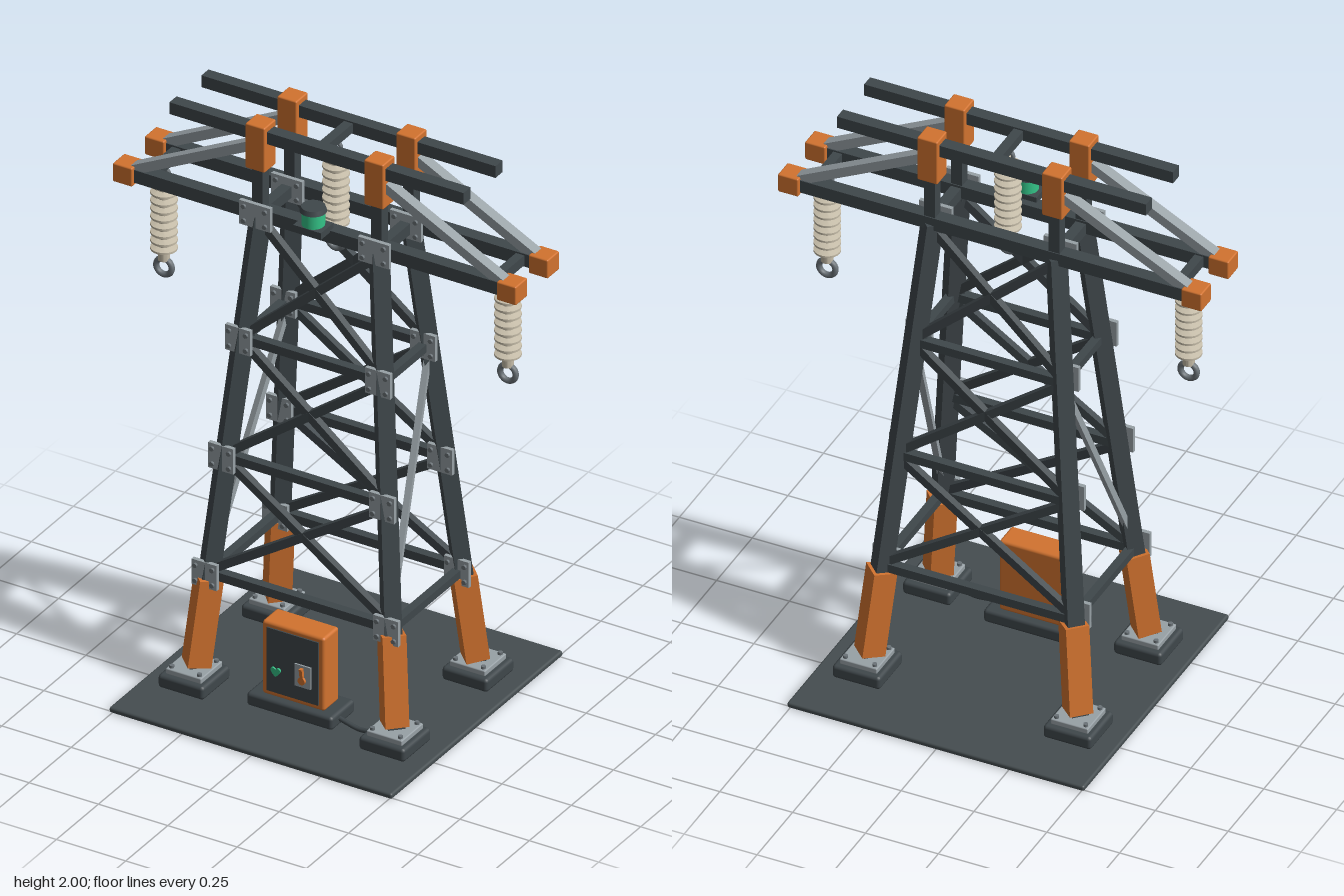
import * as THREE from 'three';
import { toCreasedNormals } from 'three/addons/utils/BufferGeometryUtils.js';
import { RoundedBoxGeometry } from 'three/addons/geometries/RoundedBoxGeometry.js';

const mat = (name, color) => Object.assign(new THREE.MeshStandardMaterial({ color }), { name });

export function createModel() {
  const dark = mat('dark steel', 0x3f474b);
  const ground = mat('ground slab', 0x454d50);
  const orange = mat('orange paint', 0xd2732f);
  const steel = mat('galvanised steel', 0x98a1a6);
  const ceramic = mat('ceramic', 0xc6bda9);
  const ringMat = mat('ring metal', 0x6b7378);
  const green = mat('green glow', 0x34c488);

  const model = new THREE.Group();
  model.name = 'powerPylon';
  const V = (x, y, z) => new THREE.Vector3(x, y, z);

  function add(name, geo, material, x = 0, y = 0, z = 0, parent = model) {
    const m = new THREE.Mesh(geo, material);
    m.name = name;
    m.position.set(x, y, z);
    parent.add(m);
    return m;
  }
  const box = (name, material, w, h, d, x, y, z, r = 0) =>
    add(name, r ? new RoundedBoxGeometry(w, h, d, 2, r) : new THREE.BoxGeometry(w, h, d), material, x, y, z);

  // Bar of section w x h running from a to b
  function bar(name, material, a, b, w, h = w) {
    const m = add(name, new THREE.BoxGeometry(w, h, a.distanceTo(b)), material);
    m.position.copy(a).lerp(b, 0.5);
    m.lookAt(b);
    return m;
  }

  // Leg centre line at height y, in the quadrant (sx, sz)
  const legAt = (sx, y, sz) => {
    const t = (y - 0.09) / 1.57;
    return V(sx * (0.357 - 0.143 * t), y, sz * (0.24 - 0.145 * t));
  };
  const ARM_Y = 1.677, TOP_Y = 1.96, ARM_Z = 0.095, POST_X = 0.214;
  const levels = [0.41, 0.82, 1.235, 1.66];

  box('groundSlab', ground, 1.02, 0.02, 1.02, 0, 0.01, 0, 0.008);

  // Bolted gusset plate facing the front
  const boltGeo = new THREE.CylinderGeometry(0.008, 0.008, 0.01, 8);
  function gusset(x, y, z, w, h) {
    box('gussetPlate', steel, w, h, 0.014, x, y, z);
    for (const i of [-1, 1]) for (const j of [-1, 1]) {
      add('gussetBolt', boltGeo, ringMat, x + i * w * 0.34, y + j * h * 0.3, z + 0.01).rotation.x = Math.PI / 2;
    }
  }

  // Four corners: foot, leg, boot, post, caps, plates
  for (const sx of [-1, 1]) for (const sz of [-1, 1]) {
    const fx = sx * 0.362, fz = sz * 0.247;
    box('footBase', dark, 0.165, 0.047, 0.165, fx, 0.042, fz, 0.012);
    box('footPlate', steel, 0.128, 0.02, 0.128, fx, 0.074, fz, 0.004);
    for (const i of [-1, 1]) for (const j of [-1, 1]) {
      add('footBolt', boltGeo, ringMat, fx + i * 0.05, 0.088, fz + j * 0.05);
    }
    bar('leg', dark, legAt(sx, 0.07, sz), legAt(sx, 1.67, sz), 0.055);
    bar('legBoot', orange, legAt(sx, 0.09, sz), legAt(sx, 0.395, sz), 0.076);
    box('upperPost', dark, 0.038, 0.32, 0.038, sx * POST_X, 1.8, sz * ARM_Z);
    box('postCap', orange, 0.07, 0.16, 0.07, sx * POST_X, 1.92, sz * ARM_Z, 0.005);
    box('armEndCap', orange, 0.07, 0.066, 0.07, sx * 0.692, ARM_Y, sz * ARM_Z, 0.005);
    bar('armStay', steel, V(sx * 0.675, 1.69, sz * ARM_Z), V(sx * 0.21, 1.928, sz * ARM_Z), 0.038, 0.032);
    for (const y of levels.slice(0, 3)) {
      const p = legAt(sx, y + 0.005, sz);
      gusset(p.x, p.y, p.z + 0.028, 0.09, 0.09);
    }
    gusset(sx * POST_X, ARM_Y, sz * ARM_Z + 0.029, 0.112, 0.085);
  }

  // Beams and crossed bracing on the front and back faces
  for (const sz of [-1, 1]) {
    box('crossarm', dark, 1.36, 0.045, 0.045, 0, ARM_Y, sz * ARM_Z);
    box('topBeam', dark, 1.06, 0.042, 0.042, 0, TOP_Y, sz * ARM_Z);
    for (let i = 0; i < 3; i++) {
      const lo = levels[i], hi = levels[i + 1];
      bar('girt', dark, legAt(-1, lo, sz), legAt(1, lo, sz), 0.03);
      for (const s of [-1, 1]) {
        bar('crossBrace', dark, legAt(s, lo + 0.01, sz), legAt(-s, hi - 0.01, sz), 0.024, 0.028);
      }
    }
  }

  // Side ties and diagonal stays
  for (const sx of [-1, 1]) {
    for (const y of [0.41, 1.235]) bar('sideTie', dark, legAt(sx, y, -1), legAt(sx, y, 1), 0.028);
    box('armTie', dark, 0.035, 0.04, 0.19, sx * POST_X, ARM_Y - 0.005, 0);
    box('tipTie', dark, 0.03, 0.035, 0.19, sx * 0.62, ARM_Y, 0);
    bar('sideStay', steel, legAt(sx, 0.45, 1), legAt(sx, 1.22, -1), 0.02);
  }
  box('topTie', dark, 0.032, 0.032, 0.19, 0, TOP_Y, 0);

  // Insulator string: ribbed ceramic with a ring at each end
  const profile = [[0, -0.325], [0.019, -0.325], [0.019, -0.29]];
  for (let i = 0; i < 9; i++) {
    const y = -0.287 + i * 0.0285;
    profile.push([0.022, y], [0.043, y + 0.002], [0.043, y + 0.009], [0.022, y + 0.015]);
  }
  profile.push([0.019, -0.025], [0, -0.025]);
  const stringGeo = toCreasedNormals(
    new THREE.LatheGeometry(profile.map(p => new THREE.Vector2(...p)), 20), 0.6);
  function insulator(x, y) {
    const g = new THREE.Group();
    g.name = 'insulator';
    g.position.set(x, y, 0);
    model.add(g);
    add('insulatorString', stringGeo, ceramic, 0, 0, 0, g);
    add('hangerRing', new THREE.TorusGeometry(0.018, 0.007, 8, 18), ringMat, 0, -0.015, 0, g);
    add('lineRing', new THREE.TorusGeometry(0.028, 0.01, 10, 24), ringMat, 0, -0.35, 0, g);
  }
  insulator(-0.62, 1.657);
  insulator(0.62, 1.657);
  insulator(0, 1.942);

  // Signal lamp on the front crossarm
  box('lampBracket', dark, 0.1, 0.024, 0.075, 0, 1.706, 0.135);
  add('lampGlass', new THREE.CylinderGeometry(0.037, 0.037, 0.05, 20), green, 0, 1.743, 0.135);
  add('lampCap', new THREE.CylinderGeometry(0.038, 0.043, 0.016, 20), dark, 0, 1.774, 0.135);

  // Control cabinet
  box('cabinetPlinth', dark, 0.31, 0.047, 0.14, 0, 0.042, 0.21, 0.012);
  box('cabinet', orange, 0.225, 0.262, 0.09, 0, 0.194, 0.21, 0.01);
  box('cabinetDoor', dark, 0.185, 0.225, 0.008, 0, 0.195, 0.256);
  box('switchPlate', steel, 0.058, 0.078, 0.007, 0.04, 0.173, 0.262);
  bar('switchLever', orange, V(0.04, 0.155, 0.266), V(0.04, 0.205, 0.274), 0.011);
  add('switchPivot', new THREE.CylinderGeometry(0.013, 0.013, 0.01, 12), orange, 0.04, 0.16, 0.269).rotation.x = Math.PI / 2;

  // Small green heart lamp on the door
  const heart = new THREE.Shape();
  heart.moveTo(0, -0.017);
  heart.bezierCurveTo(-0.03, 0.004, -0.014, 0.024, 0, 0.009);
  heart.bezierCurveTo(0.014, 0.024, 0.03, 0.004, 0, -0.017);
  add('heartLamp', new THREE.ExtrudeGeometry(heart, { depth: 0.006, bevelEnabled: false, curveSegments: 8 }),
    green, -0.058, 0.16, 0.26);

  // Cable from the cabinet to a foot
  const path = new THREE.CatmullRomCurve3([V(0.14, 0.045, 0.23), V(0.18, 0.038, 0.235), V(0.23, 0.031, 0.24), V(0.3, 0.042, 0.245)]);
  add('cable', new THREE.TubeGeometry(path, 16, 0.008, 8), dark);

  return model;
}
